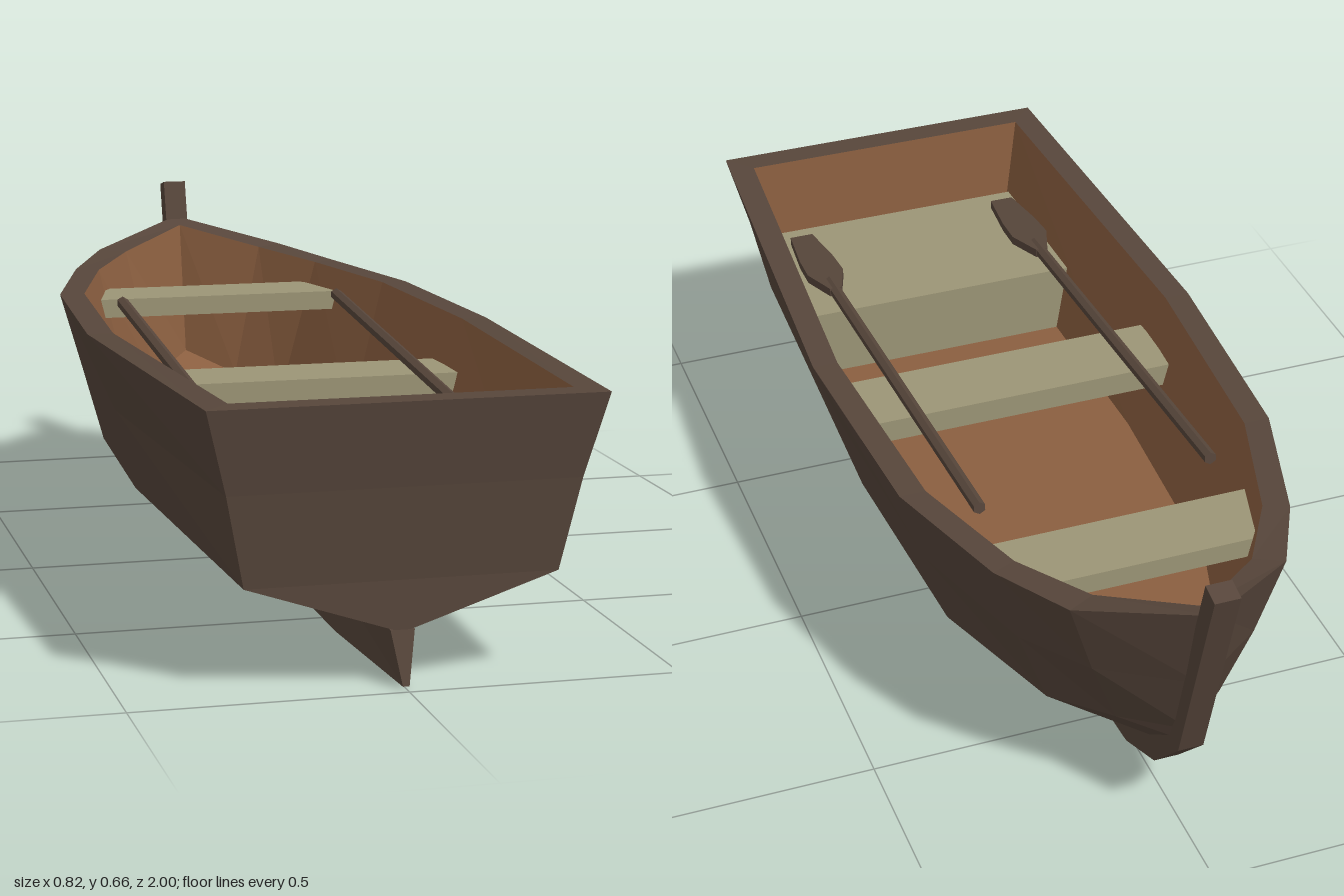
import * as THREE from 'three';

const paint = (name, color, extra = {}) => {
  const m = new THREE.MeshStandardMaterial({ color, flatShading: true, side: THREE.DoubleSide, ...extra });
  m.name = name;
  return m;
};

// Quads between successive rows of points; flip turns the faces over.
function loft(rows, flip = false) {
  const r = flip ? [...rows].reverse() : rows;
  const pos = [];
  for (let i = 0; i + 1 < r.length; i++) {
    for (let j = 0; j + 1 < r[i].length; j++) {
      const [a, b, c, d] = [r[i][j], r[i][j + 1], r[i + 1][j + 1], r[i + 1][j]];
      pos.push(...a, ...b, ...c, ...a, ...c, ...d);
    }
  }
  const g = new THREE.BufferGeometry();
  g.setAttribute('position', new THREE.Float32BufferAttribute(pos, 3));
  g.computeVertexNormals();
  return g;
}

const mirror = ([x, y, z]) => [-x, y, z];

export function createModel() {
  const boat = new THREE.Group();
  boat.name = 'rowingBoat';
  const darkWood = paint('darkWood', 0x57463b);
  const innerWood = paint('innerWood', 0x8b5f40);
  const benchWood = paint('benchWood', 0x9c9576);

  const add = (name, geometry, material, parent = boat) => {
    const mesh = new THREE.Mesh(geometry, material);
    mesh.name = name;
    parent.add(mesh);
    return mesh;
  };

  // Outer half sections, stern to bow: gunwale, side, chine, keel.
  const outer = [
    [[0.36, 0.515, 1], [0.32, 0.36, 0.975], [0.285, 0.19, 0.955], [0, 0.095, 0.955]],
    [[0.408, 0.503, 0.15], [0.355, 0.35, 0.15], [0.315, 0.19, 0.15], [0, 0.05, 0.15]],
    [[0.38, 0.505, -0.33], [0.335, 0.35, -0.33], [0.29, 0.19, -0.33], [0, 0.05, -0.33]],
    [[0.295, 0.513, -0.62], [0.247, 0.35, -0.62], [0.19, 0.19, -0.62], [0, 0.075, -0.62]],
    [[0.21, 0.53, -0.79], [0.16, 0.37, -0.775], [0.105, 0.225, -0.755], [0, 0.13, -0.75]],
    [[0, 0.58, -0.95], [0, 0.39, -0.905], [0, 0.25, -0.865], [0, 0.21, -0.85]],
  ];
  // Inner half sections: rim edge, floor edge.
  const inner = [
    [[0.31, 0.515, 0.945], [0.26, 0.2, 0.915]],
    [[0.357, 0.503, 0.15], [0.28, 0.2, 0.15]],
    [[0.328, 0.505, -0.33], [0.255, 0.2, -0.33]],
    [[0.247, 0.513, -0.6], [0.17, 0.2, -0.62]],
    [[0.155, 0.528, -0.76], [0.095, 0.24, -0.74]],
    [[0, 0.565, -0.9], [0, 0.28, -0.84]],
  ];

  // Hull shell and transom
  add('hullSides', loft(outer.map(s => [...s, ...s.slice(0, 3).reverse().map(mirror)])), darkWood);
  add('transom', loft(outer[0].map(p => [p, mirror(p)])), darkWood);

  // Inside walls and floor
  add('innerWalls', loft(inner.map(([a, b]) => [a, b]), true), innerWood);
  add('innerWalls', loft(inner.map(([a, b]) => [mirror(b), mirror(a)]), true), innerWood);
  add('floor', loft(inner.map(([, b]) => [b, mirror(b)]), true), innerWood);
  add('innerTransom', loft(inner[0].map(p => [p, mirror(p)]), true), innerWood);

  // Gunwale rim
  const rim = outer.map((s, i) => [s[0], inner[i][0]]);
  add('gunwale', loft(rim, true), darkWood);
  add('gunwale', loft(rim.map(([a, b]) => [mirror(b), mirror(a)]), true), darkWood);
  add('sternRim', loft(rim[0].map(p => [p, mirror(p)]), true), darkWood);

  // Solid beam; each station is [z, y, halfWidth] of the lower edge, then of the upper edge.
  function beam(name, stations, material) {
    const group = new THREE.Group();
    group.name = name;
    const rings = stations.map(([z, y, w, zi, yi, wi]) =>
      [[w, y, z], [-w, y, z], [-wi, yi, zi], [wi, yi, zi], [w, y, z]]);
    const cap = r => [[r[3], r[2]], [r[0], r[1]]];
    add(name + 'Body', loft(rings), material, group);
    add(name + 'Back', loft(cap(rings[0])), material, group);
    add(name + 'Front', loft(cap(rings[rings.length - 1]), true), material, group);
    boat.add(group);
  }

  // Keel sweeping up into the stem post
  const k = 0.025;
  beam('keelAndStem', [
    [0.98, 0.004, 0.006, 0.955, 0.1, 0.022],
    [0.6, 0, k, 0.6, 0.1, k],
    [0.15, 0, k, 0.15, 0.08, k],
    [-0.32, 0, k, -0.32, 0.08, k],
    [-0.62, 0.03, k, -0.6, 0.09, k],
    [-0.76, 0.095, k, -0.73, 0.14, k],
    [-0.87, 0.21, k, -0.83, 0.225, k],
    [-1, 0.65, k, -0.958, 0.66, k],
  ], darkWood);

  // Benches: back z and half width, front z and half width, top, bottom
  const bench = (name, zb, wb, zf, wf, top, bottom, inset) => beam(name, [
    [zb, bottom, wb - inset, zb, top, wb],
    [zf, bottom, wf - inset, zf, top, wf],
  ], benchWood);
  bench('sternBench', 0.92, 0.283, 0.56, 0.3, 0.35, 0.2, 0.03);
  bench('middleBench', 0.21, 0.33, 0.05, 0.33, 0.405, 0.357, 0.01);
  bench('bowBench', -0.48, 0.265, -0.63, 0.225, 0.465, 0.425, 0.01);

  // Oars
  const bladeShape = new THREE.Shape([
    [-0.013, -0.05], [0.013, -0.05], [0.04, 0.03], [0.038, 0.1],
    [0.025, 0.22], [-0.025, 0.22], [-0.038, 0.1], [-0.04, 0.03],
  ].map(p => new THREE.Vector2(...p)));
  for (const [name, side] of [['leftOar', 1], ['rightOar', -1]]) {
    const oar = new THREE.Group();
    oar.name = name;
    const shaft = new THREE.CylinderGeometry(0.013, 0.013, 1, 6).rotateX(Math.PI / 2);
    add('shaft', shaft, darkWood, oar).position.z = -0.11;
    const blade = new THREE.ExtrudeGeometry(bladeShape, { depth: 0.018, bevelEnabled: false })
      .translate(0, 0, -0.009).rotateX(Math.PI / 2);
    add('blade', blade, darkWood, oar).position.z = 0.39;
    oar.position.set(side * 0.237, 0.425, 0.23);
    oar.rotation.x = 0.082;
    boat.add(oar);
  }
  return boat;
}
